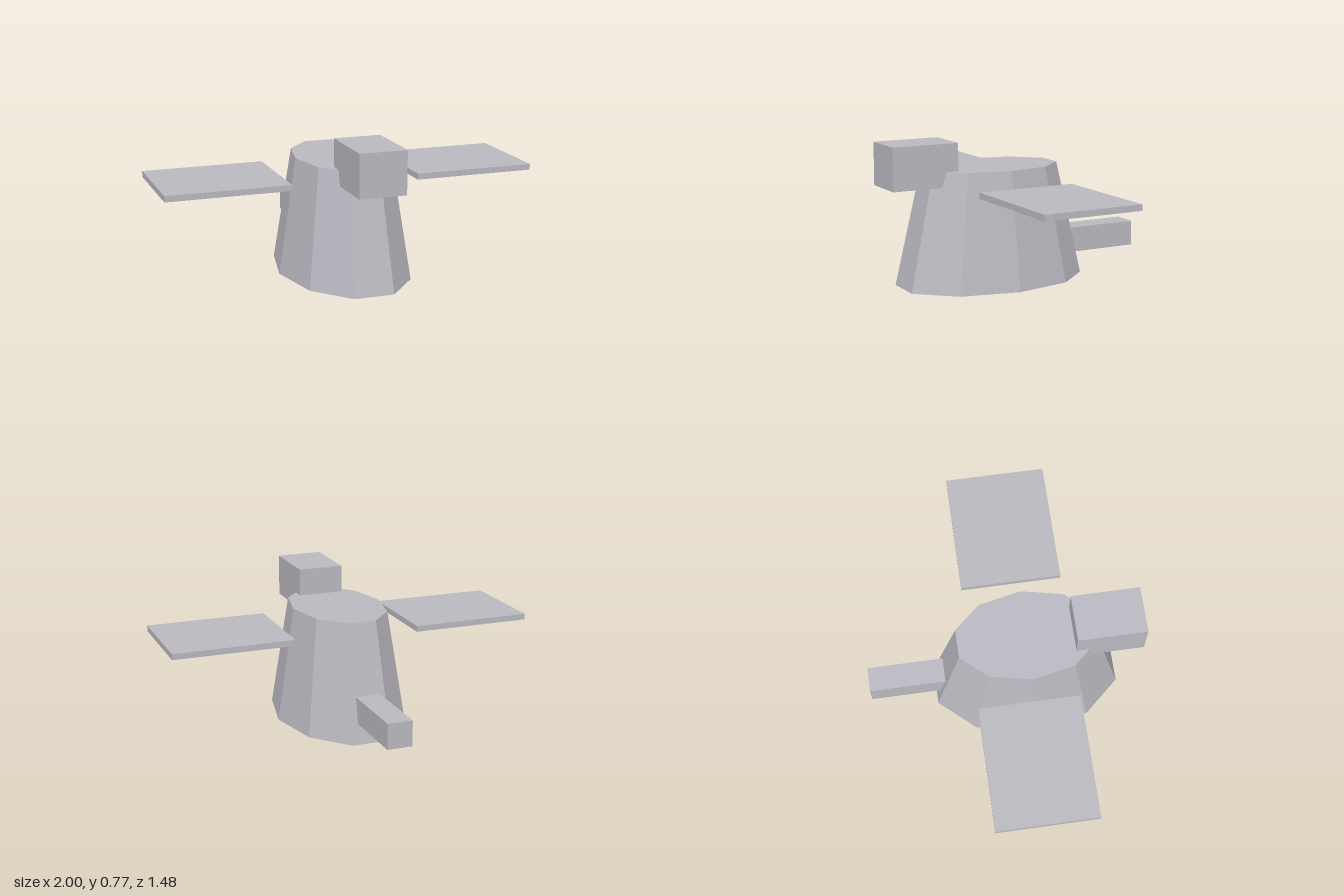
import * as THREE from 'three';

export function createModel() {
  const model = new THREE.Group();
  const grey = new THREE.MeshStandardMaterial({ color: 0xbab8c0 });
  grey.name = 'pale grey';

  const add = (name, geometry) => {
    const mesh = new THREE.Mesh(geometry, grey);
    mesh.name = name;
    model.add(mesh);
  };

  // Box given by its lower and upper corners
  const box = (name, [x0, y0, z0], [x1, y1, z1]) => {
    const geometry = new THREE.BoxGeometry(x1 - x0, y1 - y0, z1 - z0);
    geometry.translate((x0 + x1) / 2, (y0 + y1) / 2, (z0 + z1) / 2);
    add(name, geometry);
  };

  // Tapered ten-sided body, stretched front to back, with hard facets
  const cone = new THREE.CylinderGeometry(0.25, 0.345, 0.625, 10, 1, false, Math.PI / 2);
  cone.scale(1, 1, 1.553);
  cone.translate(0, 0.3125, 0.13);
  const body = cone.toNonIndexed();
  body.computeVertexNormals();
  add('body', body);

  // Head overhanging the front rim, and tail low at the back
  box('head', [-0.125, 0.545, 0.376], [0.125, 0.773, 0.742]);
  box('tail', [-0.068, 0.108, -0.742], [0.068, 0.246, -0.29]);

  // Flat wings, one on each side
  box('leftWing', [0.345, 0.515, -0.175], [1, 0.547, 0.367]);
  box('rightWing', [-1, 0.515, -0.175], [-0.345, 0.547, 0.367]);

  return model;
}
